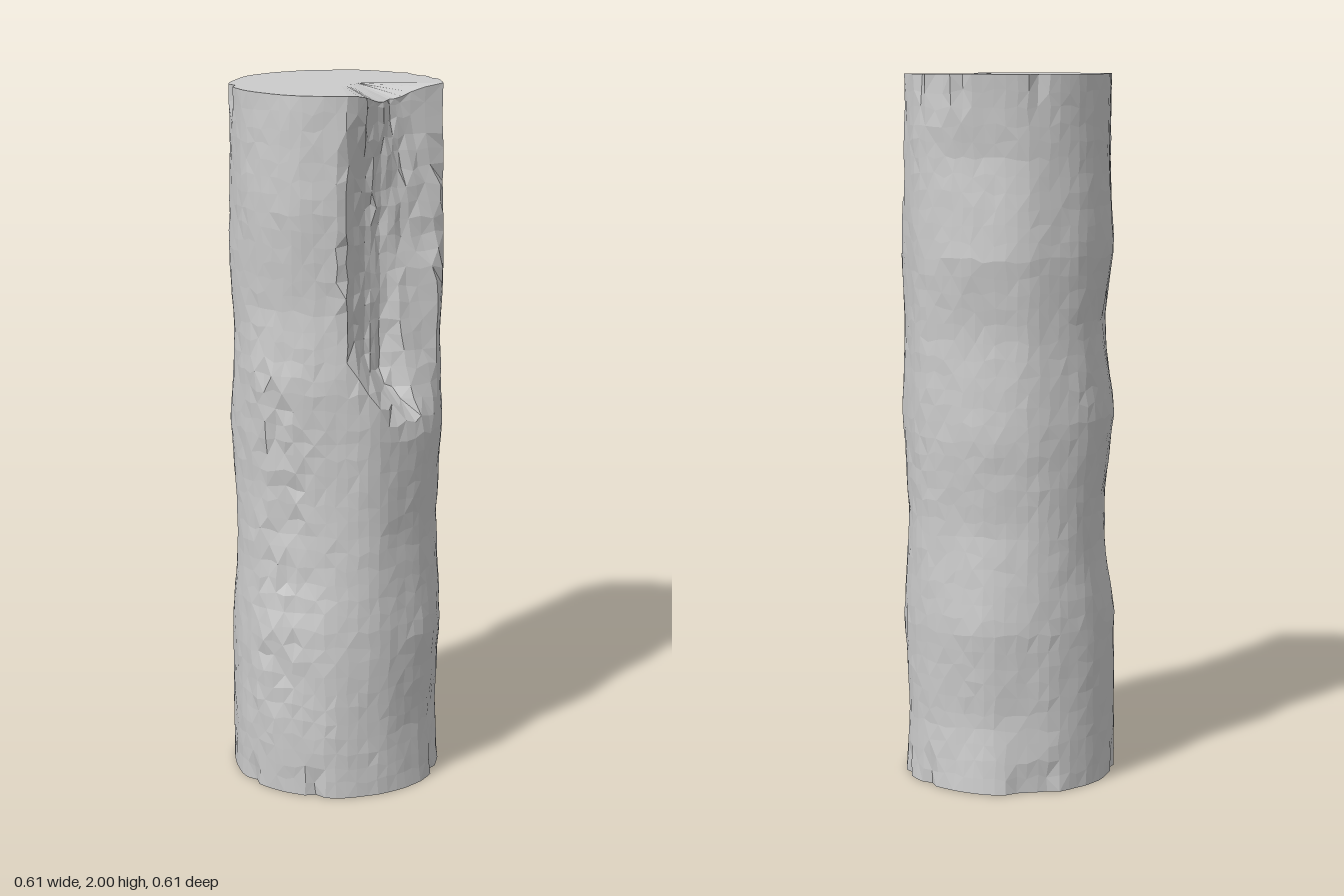
import * as THREE from 'three';

const SEG = 60, ROWS = 44, H = 2, DEG = Math.PI / 180;

// Repeatable value in -1..1 for a grid cell
function hash(i, j) {
  const s = Math.sin(i * 127.1 + j * 311.7) * 43758.5453;
  return (s - Math.floor(s)) * 2 - 1;
}

const smooth = THREE.MathUtils.smoothstep;
const lerp = THREE.MathUtils.lerp;

// Piecewise linear lookup through [key, value] pairs
function lookup(points, k) {
  for (let i = 1; i < points.length; i++) {
    const [a, u] = points[i - 1], [b, v] = points[i];
    if (k <= b) return u + (v - u) * Math.max(0, (k - a) / (b - a));
  }
  return points[points.length - 1][1];
}

// Bark radius by height on the left, front, right and back
const PROFILES = [
  [[0, 0.3], [0.2, 0.282], [0.46, 0.305], [0.75, 0.281], [1.05, 0.303], [1.3, 0.292], [1.5, 0.3], [2, 0.298]],
  [[0, 0.294], [0.2, 0.305], [0.48, 0.301], [0.66, 0.275], [0.86, 0.272], [1.2, 0.298], [1.42, 0.283], [1.7, 0.307], [2, 0.297]],
  [[0, 0.305], [0.48, 0.304], [0.66, 0.272], [0.8, 0.27], [1.05, 0.305], [1.3, 0.266], [1.52, 0.302], [1.75, 0.288], [2, 0.291]],
  [[0, 0.3], [0.2, 0.28], [0.47, 0.305], [0.75, 0.279], [1, 0.297], [1.3, 0.28], [1.5, 0.305], [1.78, 0.279], [2, 0.302]],
];

// Split in the upper trunk by angle in degrees: radius at the sawn end,
// radius of the pocket below it, and height of the lip
const SPLIT_TOP = [[-26, 0.31], [-14, 0.215], [-3, 0.178], [7, 0.163], [25, 0.19],
  [41, 0.208], [48, 0.265], [57, 0.289], [66, 0.31]];
const SPLIT_POCKET = [[-26, 0.31], [-14, 0.25], [0, 0.21], [24, 0.177], [42, 0.19],
  [54, 0.225], [62, 0.3]];
const LIP = [[-26, 1.06], [-10, 1.03], [18, 1.06], [35, 1.1], [48, 1.16], [57, 1.23], [64, 1.33]];

// Angle of the split's rear edge by height
const REAR_EDGE = [[1.05, 0], [1.3, -8], [1.5, -10], [1.6, -17], [1.8, -26]];

// Weathered bark: swellings from the profiles, with shallow vertical folds
function barkRadius(a, y) {
  let r = 0.297 + 0.002 * Math.sin(7 * a + 1.5 * y) + 0.0015 * Math.sin(11 * a - 2 * y + 1);
  PROFILES.forEach((profile, k) => {
    const near = Math.max(0, Math.cos(a - k * Math.PI / 2)) ** 6;
    r += near * (lookup(profile, y) - 0.297);
  });
  return r;
}

function trunkPoint(i, j) {
  let a = i / SEG * Math.PI * 2;
  let y = j / ROWS * H;
  const inner = j > 0 && j < ROWS;
  if (inner) {
    a += hash(i, j) * 0.016;
    y += hash(i + 60, j) * 0.008;
  }
  let r = barkRadius(a, y) + hash(i, j + 90) * 0.0015;

  // Rough scar running up the front
  const scar = Math.exp(-(((a - 100 * DEG) / 0.35) ** 2)) * smooth(y, 0.1, 0.3) * (1 - smooth(y, 1.2, 1.4));
  r += scar * hash(i + 7, j + 31) * 0.007;

  // Small nicks at both rims
  const rim = Math.max(smooth(y, 1.86, 2), 1 - smooth(y, 0, 0.12));
  if (hash(i, y > 1 ? 5 : 9) > 0.7) r -= 0.014 * rim;

  // Split: a deep pocket in front, and behind it a wall that narrows the gap as it goes down
  const deg = (a / DEG + 180) % 360 - 180;
  const rear = lookup(REAR_EDGE, y);
  if (deg > rear && deg < 66) {
    const across = deg < 25 ? lerp(-26, 25, (deg - rear) / (25 - rear)) : deg;
    const pocket = lerp(lookup(SPLIT_POCKET, across), lookup(SPLIT_TOP, across), smooth(y, 1.65, 1.98));
    const wall = (1 - smooth(deg, 12, 20)) * (1 - smooth(y, 1.1, 1.55));
    const lip = lookup(LIP, deg);
    const cut = Math.min(r, pocket + (inner ? hash(i + 3, j + 17) * 0.005 : 0));
    r = lerp(r, cut, smooth(y, lip, lip + 0.15) * (1 - 0.5 * wall));
    if (j === ROWS) y -= 0.035 * smooth(deg, -26, 0) * (1 - smooth(deg, 25, 60));
  }
  r = Math.min(r, 0.308);
  return [r * Math.cos(a), y, r * Math.sin(a)];
}

function trunkGeometry() {
  const pos = [], index = [];
  for (let j = 0; j <= ROWS; j++)
    for (let i = 0; i < SEG; i++) pos.push(...trunkPoint(i, j));

  // Bark walls
  for (let j = 0; j < ROWS; j++)
    for (let i = 0; i < SEG; i++) {
      const n = (i + 1) % SEG;
      const a = j * SEG + i, b = j * SEG + n, c = a + SEG, d = b + SEG;
      if ((i + j) % 2) index.push(a, c, b, b, c, d);
      else index.push(a, c, d, a, d, b);
    }

  // Sawn ends: flat inner disc, the top rim sagging towards the split
  const top = ROWS * SEG, ring = (ROWS + 1) * SEG;
  for (let i = 0; i < SEG; i++) {
    const a = i / SEG * Math.PI * 2;
    pos.push(0.06 * Math.cos(a), H, 0.06 * Math.sin(a));
  }
  const topMid = ring + SEG, bottomMid = topMid + 1;
  pos.push(0, H, 0, 0, 0, 0);
  for (let i = 0; i < SEG; i++) {
    const n = (i + 1) % SEG;
    index.push(top + i, ring + i, top + n, top + n, ring + i, ring + n);
    index.push(ring + i, topMid, ring + n);
    index.push(i, n, bottomMid);
  }

  const g = new THREE.BufferGeometry();
  g.setAttribute('position', new THREE.Float32BufferAttribute(pos, 3));
  g.setIndex(index);
  g.computeVertexNormals();
  return g;
}

export function createModel() {
  const group = new THREE.Group();
  group.name = 'log';
  const material = new THREE.MeshStandardMaterial({ color: 0xcccccc, flatShading: true });
  const trunk = new THREE.Mesh(trunkGeometry(), material);
  trunk.name = 'splitTrunk';
  group.add(trunk);
  return group;
}
